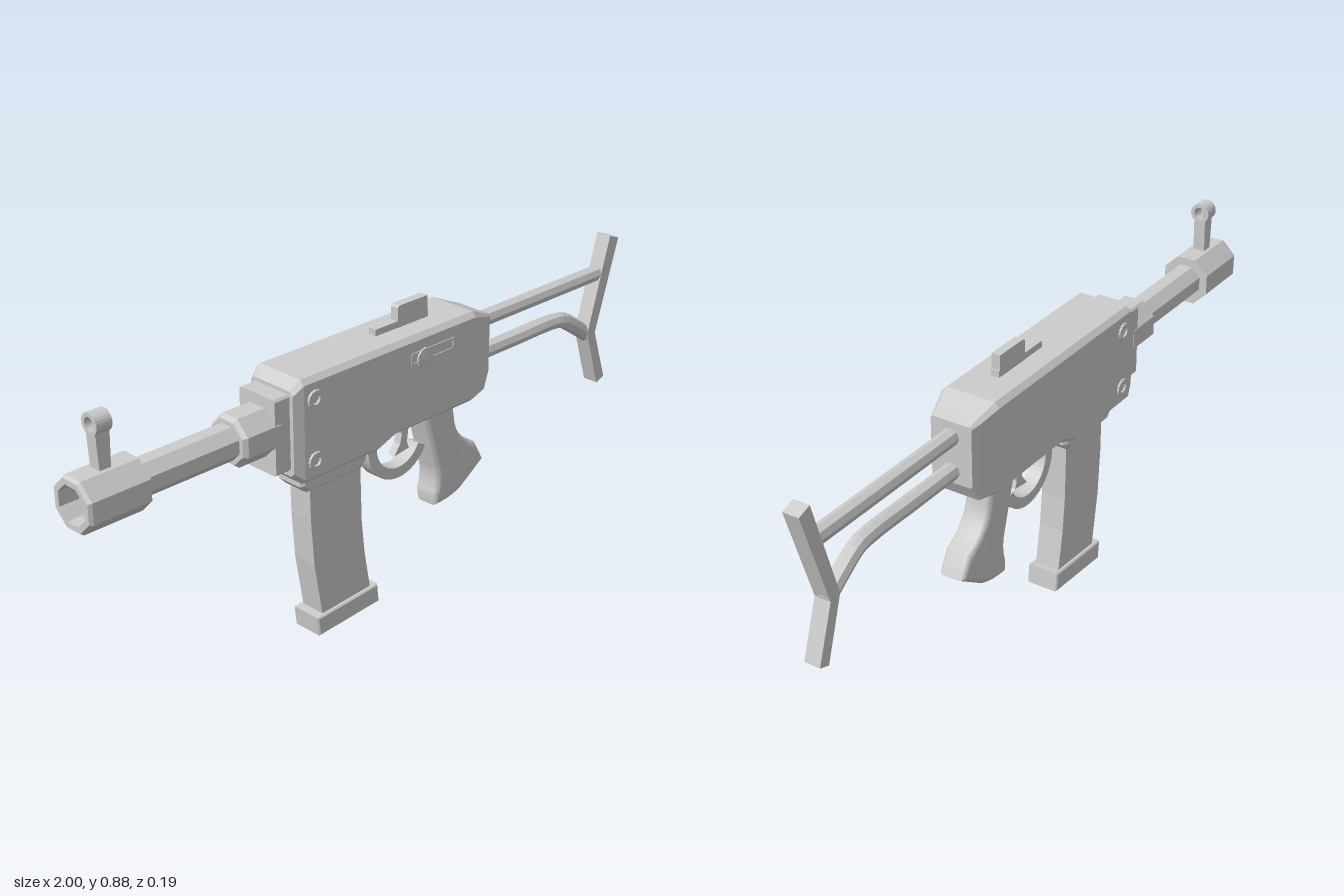
import * as THREE from 'three';
import { toCreasedNormals } from 'three/addons/utils/BufferGeometryUtils.js';

const mat = new THREE.MeshStandardMaterial({ color: 0xcccccc, flatShading: true, side: THREE.DoubleSide });
const smooth = new THREE.MeshStandardMaterial({ color: 0xcccccc, side: THREE.DoubleSide });

export function createModel() {
  const model = new THREE.Group();
  model.name = 'model';

  const add = (name, geo, x = 0, y = 0, z = 0, material = mat) => {
    const m = new THREE.Mesh(geo, material);
    m.name = name;
    m.position.set(x, y, z);
    model.add(m);
    return m;
  };

  // Side outline extruded evenly across z, with an optional inward bevel
  const slab = (outline, half, bevel = 0, segments = 1) => {
    const shape = Array.isArray(outline) ? new THREE.Shape(outline.map(p => new THREE.Vector2(...p))) : outline;
    const geo = new THREE.ExtrudeGeometry(shape, {
      depth: 2 * (half - bevel), curveSegments: 12, bevelEnabled: bevel > 0, bevelThickness: bevel,
      bevelSize: bevel, bevelOffset: -bevel, bevelSegments: segments,
    });
    return geo.translate(0, 0, bevel - half);
  };

  // Chamfered rectangles lofted along x: [x, bottom, top, half width, chamfer]
  const loft = sections => {
    const pos = [], index = [];
    for (const [x, b, t, h, c] of sections) {
      const ring = [[t, h - c], [t - c, h], [b + c, h], [b, h - c], [b, c - h], [b + c, -h], [t - c, -h], [t, c - h]];
      for (const [y, z] of ring) pos.push(x, y, z);
    }
    const last = (sections.length - 1) * 8;
    for (let s = 0; s < last; s += 8) {
      for (let i = 0; i < 8; i++) {
        const j = (i + 1) % 8;
        index.push(s + i, s + j, s + 8 + i, s + j, s + 8 + j, s + 8 + i);
      }
    }
    for (let i = 1; i < 7; i++) index.push(0, i + 1, i, last, last + i, last + i + 1);
    const geo = new THREE.BufferGeometry();
    geo.setAttribute('position', new THREE.Float32BufferAttribute(pos, 3));
    geo.setIndex(index);
    geo.computeVertexNormals();
    return geo;
  };

  // Octagonal turned part pointing to -x: [radius, distance from centre]
  const turned = points => new THREE.LatheGeometry(
    points.map(p => new THREE.Vector2(...p)), 8, Math.PI / 8).rotateZ(Math.PI / 2);

  // Main housing with tapered rear, and the block in front of it
  add('receiver', loft([
    [-0.37, 0.535, 0.775, 0.078, 0.012],
    [-0.34, 0.507, 0.80, 0.088, 0.014],
    [-0.07, 0.507, 0.80, 0.088, 0.014],
    [0.0, 0.532, 0.80, 0.088, 0.014],
    [0.30, 0.532, 0.80, 0.088, 0.014],
    [0.36, 0.538, 0.774, 0.071, 0.01],
    [0.387, 0.585, 0.763, 0.062, 0.006],
  ]));
  add('frontBlock', loft([
    [-0.42, 0.552, 0.765, 0.066, 0.006],
    [-0.36, 0.552, 0.765, 0.066, 0.006],
  ]));

  // Barrel line
  const axisY = 0.666;
  add('barrelCollar', turned([[0, 0.4], [0.073, 0.4], [0.073, 0.51], [0.063, 0.522], [0, 0.522]]), 0, axisY);
  add('barrel', turned([[0.05, 0.51], [0.05, 0.83]]), 0, axisY);
  add('muzzle', turned([[0, 0.818], [0.076, 0.818], [0.076, 0.99], [0.07, 1], [0.054, 1], [0.05, 0.9], [0, 0.9]]), 0, axisY);

  // Front sight: post, ring and pin
  add('frontSightPost', slab([[-0.925, 0.72], [-0.893, 0.72], [-0.889, 0.835], [-0.931, 0.835]], 0.018));
  const ring = new THREE.Shape().absarc(0, 0, 0.029, 0, Math.PI * 2);
  ring.holes.push(new THREE.Path().absarc(0, 0, 0.018, 0, Math.PI * 2, true));
  add('frontSightRing', slab(ring, 0.023), -0.91, 0.854).rotation.y = Math.PI / 2;
  add('frontSightPin', new THREE.ConeGeometry(0.008, 0.03, 6), -0.91, 0.848);

  // Rear sight on its rail
  add('rearSightRail', new THREE.BoxGeometry(0.2, 0.025, 0.024), 0.09, 0.806);
  add('rearSight', slab([[0.072, 0.80], [0.186, 0.80], [0.186, 0.862], [0.078, 0.862], [0.072, 0.856]], 0.013));

  // Cocking knob and the rims of its slot
  const knob = [[0, 0.08], [0.018, 0.08], [0.018, 0.092], [0.03, 0.094], [0.03, 0.099], [0, 0.102]];
  add('cockingKnob', new THREE.LatheGeometry(knob.map(p => new THREE.Vector2(...p)), 12).rotateX(Math.PI / 2), 0.092, 0.733);
  for (const y of [0.723, 0.752]) add('slotRim', new THREE.BoxGeometry(0.16, 0.006, 0.008), 0.13, y, 0.087);
  for (const x of [0.05, 0.21]) add('slotEnd', new THREE.BoxGeometry(0.006, 0.035, 0.008), x, 0.7375, 0.087);

  // Screws with recessed heads on both sides
  const screw = [[0.027, 0], [0.024, 0.006], [0.015, 0.006], [0.012, 0.001], [0, 0.001]];
  for (const side of [1, -1]) {
    for (const y of [0.74, 0.566]) {
      add('screw', new THREE.LatheGeometry(screw.map(p => new THREE.Vector2(...p)), 12)
        .rotateX(side * Math.PI / 2), -0.303, y, side * 0.087);
    }
  }

  // Magazine and its well
  add('magazineWell', slab([[-0.317, 0.53], [-0.317, 0.475], [-0.295, 0.453], [-0.095, 0.453],
    [-0.075, 0.475], [-0.075, 0.53]], 0.05, 0.01));
  add('magazine', slab([[-0.28, 0.47], [-0.278, 0.36], [-0.268, 0.22], [-0.24, 0.05], [-0.058, 0.06],
    [-0.08, 0.19], [-0.09, 0.29], [-0.095, 0.47]], 0.038));
  add('magazineBase', slab([[-0.268, 0.058], [-0.262, 0.0], [-0.032, 0.014], [-0.038, 0.072]], 0.049, 0.004));

  // Trigger guard and trigger
  const guard = new THREE.Shape();
  guard.absarc(0, 0, 0.118, Math.PI * 0.83, Math.PI * 1.85, false);
  guard.absarc(0, 0, 0.086, Math.PI * 1.85, Math.PI * 0.83, true);
  add('triggerGuard', slab(guard, 0.022), 0.07, 0.475);
  add('trigger', slab([[0.075, 0.54], [0.092, 0.48], [0.085, 0.45], [0.062, 0.42], [0.12, 0.428],
    [0.112, 0.45], [0.125, 0.54]], 0.012));

  // Rounded pistol grip
  const grip = new THREE.Shape();
  grip.moveTo(0.145, 0.55);
  grip.lineTo(0.205, 0.34);
  grip.quadraticCurveTo(0.215, 0.3, 0.2, 0.255);
  grip.lineTo(0.205, 0.22);
  grip.quadraticCurveTo(0.265, 0.22, 0.31, 0.238);
  grip.lineTo(0.407, 0.302);
  grip.lineTo(0.372, 0.365);
  grip.quadraticCurveTo(0.29, 0.405, 0.282, 0.475);
  grip.lineTo(0.268, 0.55);
  grip.closePath();
  add('grip', toCreasedNormals(slab(grip, 0.041, 0.018, 4), 0.6), 0, 0, 0, smooth);

  // Wire stock: straight upper rod, bent lower rod, butt plate
  add('upperStockRod', new THREE.CylinderGeometry(0.024, 0.024, 0.57, 8).rotateZ(Math.PI / 2), 0.655, 0.72);
  const bend = new THREE.CatmullRomCurve3([[0.37, 0.62], [0.55, 0.62], [0.73, 0.62], [0.78, 0.612], [0.83, 0.582], [0.905, 0.53]]
    .map(([x, y]) => new THREE.Vector3(x, y, 0)));
  add('lowerStockRod', new THREE.TubeGeometry(bend, 24, 0.024, 8));
  add('buttPlate', slab([[0.96, 0.834], [0.877, 0.545], [0.935, 0.368], [0.968, 0.38], [0.913, 0.54], [1, 0.82]], 0.024));

  for (const part of model.children) part.position.z -= 0.005;
  return model;
}
